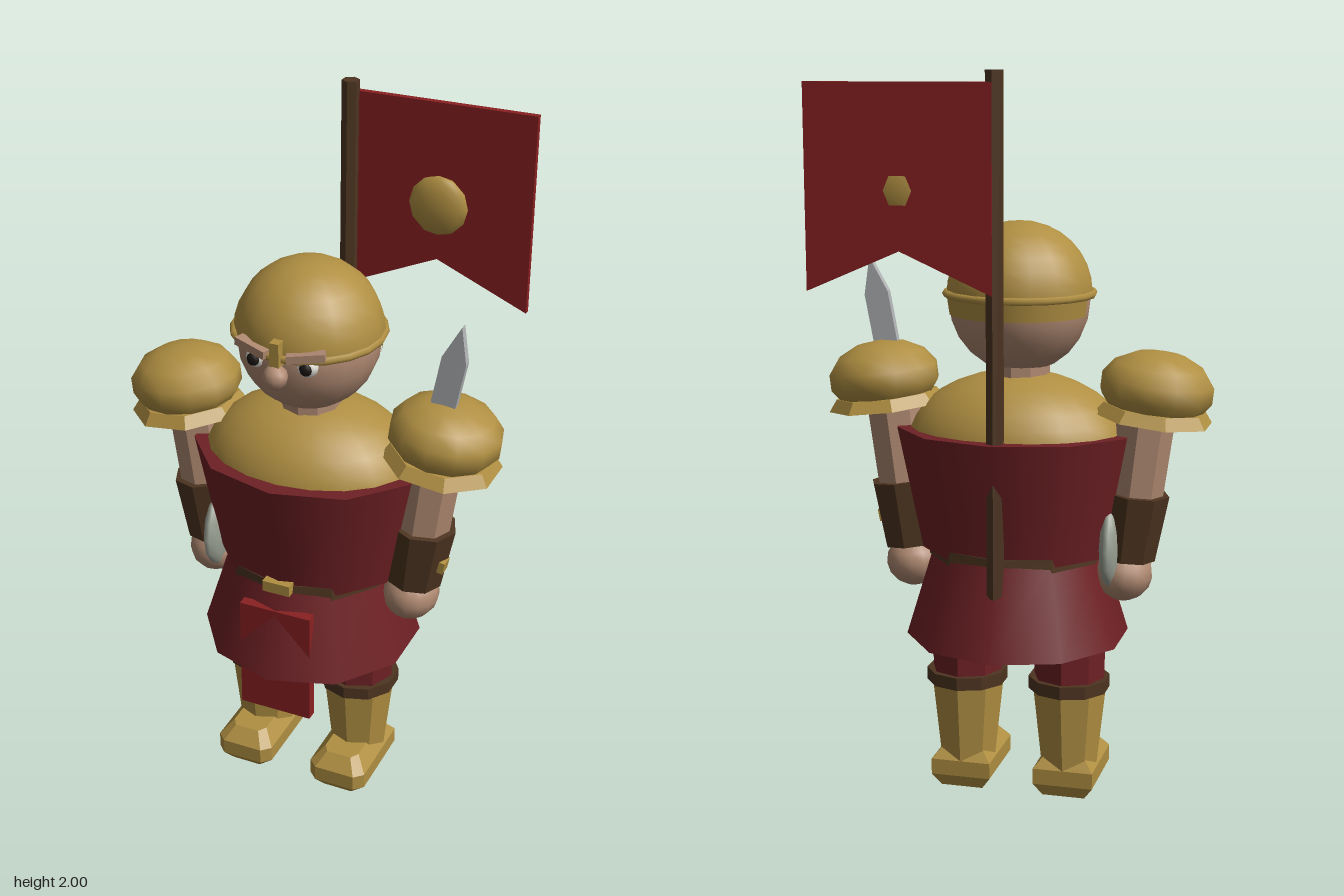
import * as THREE from 'three';
import { ConvexGeometry } from 'three/addons/geometries/ConvexGeometry.js';

const mat = (name, color) => {
  const m = new THREE.MeshStandardMaterial({ color });
  m.name = name;
  return m;
};

// Faceted normals for the low-poly parts
const flat = (g) => {
  const f = g.index ? g.toNonIndexed() : g;
  f.computeVertexNormals();
  return f;
};

export function createModel() {
  const model = new THREE.Group();
  model.name = 'soldier';

  const gold = mat('gold', 0xb08f42);
  const tunicRed = mat('tunic red', 0x6e2024);
  const bannerRed = mat('banner red', 0x8a2022);
  const skin = mat('skin', 0xb08a72);
  const leather = mat('leather brown', 0x4d3420);
  const steel = mat('steel', 0xb2b4b6);
  const shieldGrey = mat('shield grey', 0x9aa093);
  const white = mat('eye white', 0xe8e4dc);
  const black = mat('pupil black', 0x1c1815);

  const add = (name, geo, material, x = 0, y = 0, z = 0, parent = model) => {
    const m = new THREE.Mesh(geo, material);
    m.name = name;
    m.position.set(x, y, z);
    parent.add(m);
    return m;
  };
  const ball = (name, material, r, x, y, z, sx = 1, sy = 1, sz = 1, seg = 16, parent = model) => {
    const m = add(name, new THREE.SphereGeometry(r, seg, Math.max(6, seg * 0.6 | 0)), material, x, y, z, parent);
    m.scale.set(sx, sy, sz);
    return m;
  };
  // Tapered cylinder between two heights, optionally stretched across x
  const taper = (name, material, rTop, rBottom, y0, y1, sides, x = 0, z = 0, sx = 1, faceted = true, parent = model) => {
    const g = new THREE.CylinderGeometry(rTop, rBottom, y1 - y0, sides);
    g.scale(sx, 1, 1);
    return add(name, faceted ? flat(g) : g, material, x, (y0 + y1) / 2, z, parent);
  };

  // Torso
  taper('bodice', tunicRed, 0.28, 0.222, 0.70, 1.04, 10, 0, 0, 1.2, false);
  taper('skirt', tunicRed, 0.235, 0.31, 0.455, 0.70, 10, 0, 0, 1, false);
  taper('belt', leather, 0.232, 0.236, 0.685, 0.722, 10, 0, 0, 1.04);
  add('buckle', new THREE.BoxGeometry(0.08, 0.032, 0.03), gold, 0, 0.718, 0.23);
  add('frontPanel', new THREE.BoxGeometry(0.21, 0.335, 0.03), bannerRed, 0, 0.482, 0.24);
  const chest = add('breastplate',
    new THREE.SphereGeometry(1, 20, 8, 0, Math.PI * 2, 0, Math.PI / 2), gold, 0, 0.99, 0);
  chest.scale.set(0.31, 0.208, 0.24);
  taper('neck', skin, 0.085, 0.085, 1.15, 1.26, 10, 0, 0.01);

  // Head and face
  const hz = 0.02;
  ball('head', skin, 0.192, 0, 1.382, hz, 1, 1, 1, 20);
  ball('nose', skin, 0.034, 0, 1.36, 0.232, 1, 1, 1, 10);
  for (const s of [1, -1]) {
    ball('eye', white, 0.03, s * 0.072, 1.386, 0.19, 1, 1, 0.8, 10);
    ball('pupil', black, 0.018, s * 0.074, 1.385, 0.209, 1, 1, 0.6, 8);
    const brow = add('eyebrow', new THREE.BoxGeometry(0.1, 0.022, 0.03), skin, s * 0.075, 1.42, 0.207);
    brow.rotation.set(0, s * 0.3, s * 0.12);
  }

  // Helmet
  const dome = add('helmetDome',
    new THREE.SphereGeometry(0.2, 16, 8, 0, Math.PI * 2, 0, Math.PI / 2), gold, 0, 1.405, hz);
  dome.scale.y = 0.985;
  const rim = add('helmetRim', new THREE.TorusGeometry(0.2, 0.011, 6, 20), gold, 0, 1.407, hz);
  rim.rotation.x = Math.PI / 2;
  const guardMat = gold.clone();
  guardMat.name = 'gold sheet';
  guardMat.side = THREE.DoubleSide;
  add('neckGuard', new THREE.CylinderGeometry(0.2, 0.192, 0.055, 12, 1, true, Math.PI - 1.4, 2.8),
    guardMat, 0, 1.378, hz);
  add('noseGuard', new THREE.BoxGeometry(0.026, 0.07, 0.03), gold, 0, 1.422, 0.225);

  // Boot shell from four rectangular rings: half width, height, back, front
  const bootPoints = [];
  for (const [w, y, back, front] of [
    [0.06, 0, -0.065, 0.15], [0.085, 0.035, -0.08, 0.18],
    [0.085, 0.08, -0.08, 0.18], [0.052, 0.12, -0.05, 0.145]]) {
    for (const s of [1, -1]) {
      bootPoints.push(new THREE.Vector3(s * w, y, back), new THREE.Vector3(s * w, y, front - 0.025),
        new THREE.Vector3(s * w * 0.7, y, front));
    }
  }
  const bootGeo = flat(new ConvexGeometry(bootPoints));

  for (const s of [1, -1]) {
    // Legs
    const x = s * 0.148;
    taper('breeches', tunicRed, 0.105, 0.1, 0.32, 0.56, 8, x);
    taper('garter', leather, 0.114, 0.114, 0.302, 0.338, 10, x);
    taper('greave', gold, 0.105, 0.078, 0.06, 0.305, 8, x);
    add('boot', bootGeo, gold, x);

    // Arm, leaning in towards the hand
    const arm = new THREE.Group();
    arm.name = s > 0 ? 'leftArm' : 'rightArm';
    arm.position.set(s * 0.36, 1.15, 0);
    arm.rotation.z = -s * 0.117;
    model.add(arm);
    taper('upperArm', skin, 0.085, 0.078, -0.3, 0, 8, 0, 0, 1, true, arm);
    taper('bracer', leather, 0.096, 0.08, -0.46, -0.275, 8, 0, 0, 1, true, arm);
    ball('hand', skin, 0.079, 0, -0.508, 0, 1, 0.95, 1.1, 14, arm);

    // Shoulder guard
    const pauldron = new THREE.Group();
    pauldron.name = 'shoulderGuard';
    pauldron.position.set(s * 0.384, 1.165, 0);
    pauldron.rotation.z = -s * 0.12;
    model.add(pauldron);
    ball('guardDome', gold, 0.157, 0, 0, 0, 1, 0.64, 0.98, 12, pauldron);
    taper('guardRim', gold, 0.14, 0.164, -0.082, -0.05, 8, 0, 0, 1, true, pauldron)
      .rotation.y = Math.PI / 8;
  }

  // Sword held upright in the left hand
  const sword = new THREE.Group();
  sword.name = 'sword';
  sword.position.set(0.292, 0.785, 0.015);
  sword.rotation.z = -0.185;
  model.add(sword);
  const bladeShape = new THREE.Shape([
    [-0.034, 0], [0.034, 0], [0.034, 0.62], [0, 0.72], [-0.034, 0.62],
  ].map(([x, y]) => new THREE.Vector2(x, y)));
  add('blade', new THREE.ExtrudeGeometry(bladeShape, { depth: 0.022, bevelEnabled: false }),
    steel, 0, 0, -0.011, sword);
  add('crossguard', new THREE.BoxGeometry(0.23, 0.035, 0.04), gold, 0, 0, 0, sword);
  taper('grip', leather, 0.02, 0.02, -0.2, 0, 6, 0, 0, 1, true, sword);

  // Round shield beside the right hand
  ball('shield', shieldGrey, 0.13, -0.272, 0.73, 0, 0.26, 1, 1, 14);

  // Banner on the back
  taper('bannerPole', leather, 0.024, 0.024, 0.62, 2, 6, 0, -0.238);
  const flagShape = new THREE.Shape([
    [0, 1.97], [0, 1.43], [0.25, 1.54], [0.505, 1.43], [0.505, 1.97],
  ].map(([x, y]) => new THREE.Vector2(x, y)));
  add('banner', new THREE.ExtrudeGeometry(flagShape, { depth: 0.018, bevelEnabled: false }),
    bannerRed, 0, 0, -0.264);
  ball('bannerDisc', gold, 0.082, 0.252, 1.695, -0.238, 1, 1, 0.38, 10);

  return model;
}
